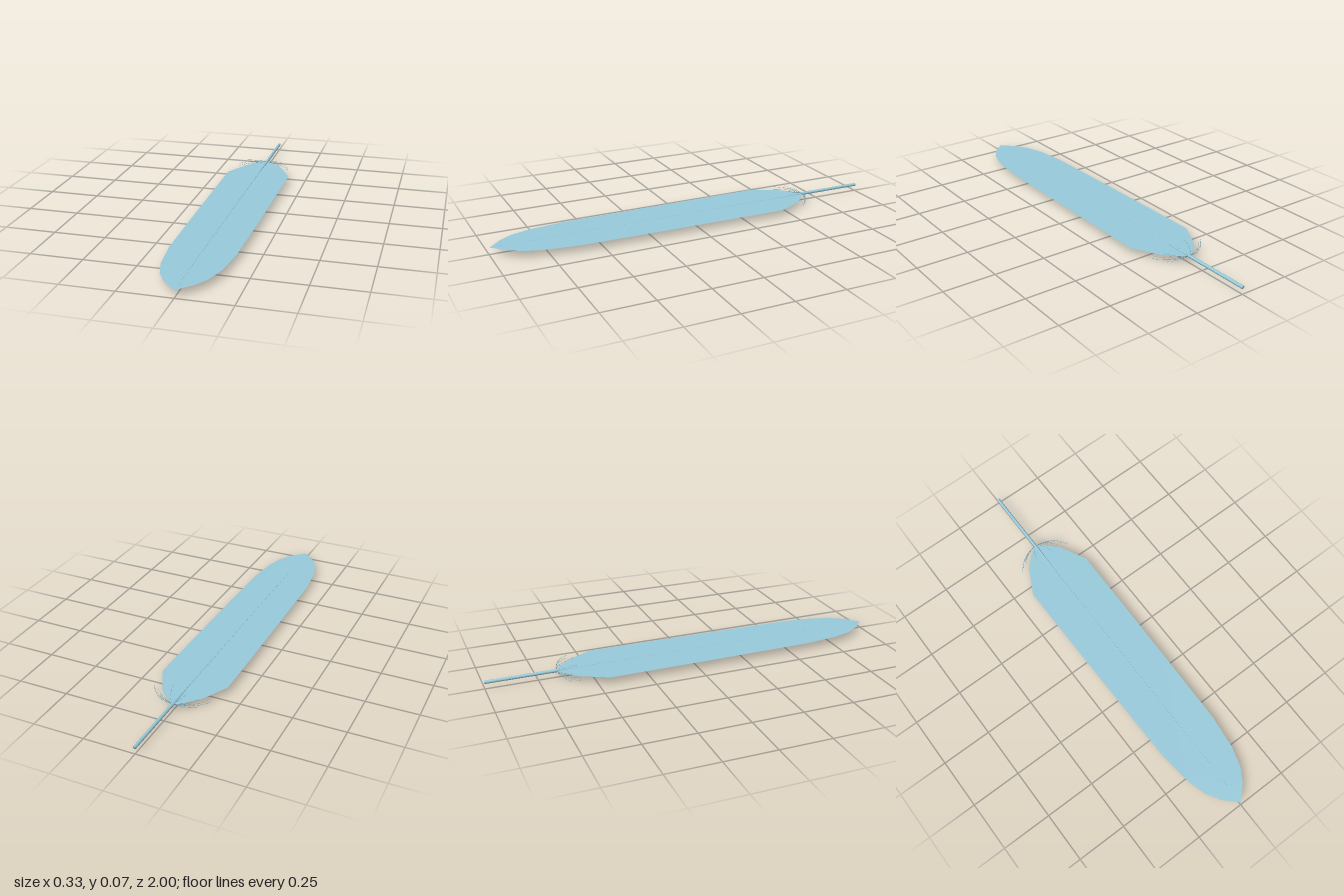
import * as THREE from 'three';

const MID = 0.034; // height of the vane and the shaft axis

export function createModel() {
  const feather = new THREE.Group();
  feather.name = 'feather';
  const material = new THREE.MeshStandardMaterial({ color: 0x99ccdd, side: THREE.DoubleSide });

  const add = (name, geometry, parent = feather) => {
    const mesh = new THREE.Mesh(geometry, material);
    mesh.name = name;
    parent.add(mesh);
    return mesh;
  };

  // Flat vane: half outline as [half width, z], mirrored about the shaft
  const half = [
    [0, -0.667], [0.042, -0.637], [0.1, -0.577], [0.167, -0.447], [0.165, -0.17],
    [0.161, 0.2], [0.155, 0.6], [0.135, 0.77], [0.106, 0.865], [0.066, 0.93], [0, 0.995],
  ];
  const mirrored = half.slice(1, -1).reverse().map(([x, z]) => [-x, z]);
  const outline = [...half, ...mirrored].map(([x, z]) => new THREE.Vector2(x, -z));
  const vane = add('vane', new THREE.ShapeGeometry(new THREE.Shape(outline)));
  vane.rotation.x = -Math.PI / 2;
  vane.position.y = MID;

  // Hollow-looking quill that narrows quickly into the rib along the vane
  const profile = [
    [0, -1], [0.008, -1], [0.008, -0.66], [0.0045, -0.58],
    [0.002, -0.47], [0.0012, 0], [0.001, 0.7], [0, 1],
  ].map(([r, z]) => new THREE.Vector2(r, z));
  const quill = add('quill', new THREE.LatheGeometry(profile, 10));
  quill.rotation.x = Math.PI / 2;
  quill.position.y = MID;

  // Downy barbs fanning out of the vane's base and curling forward
  const down = new THREE.Group();
  down.name = 'downBarbs';
  feather.add(down);
  const ends = [ // half spread, rise, z of each tip
    [0.045, 0.033, -0.57], [0.1, 0.021, -0.61],
    [0.14, 0.007, -0.575], [0.085, 0.008, -0.625],
  ];
  for (const [x, y, z] of ends) {
    for (const sx of [-1, 1]) {
      for (const sy of [-1, 1]) {
        const curve = new THREE.QuadraticBezierCurve3(
          new THREE.Vector3(0, MID, -0.662),
          new THREE.Vector3(sx * x * 0.65, MID + sy * y * 0.5, -0.655),
          new THREE.Vector3(sx * x, MID + sy * y, z),
        );
        add('downBarb', new THREE.TubeGeometry(curve, 10, 0.0008, 3), down);
      }
    }
  }

  return feather;
}
